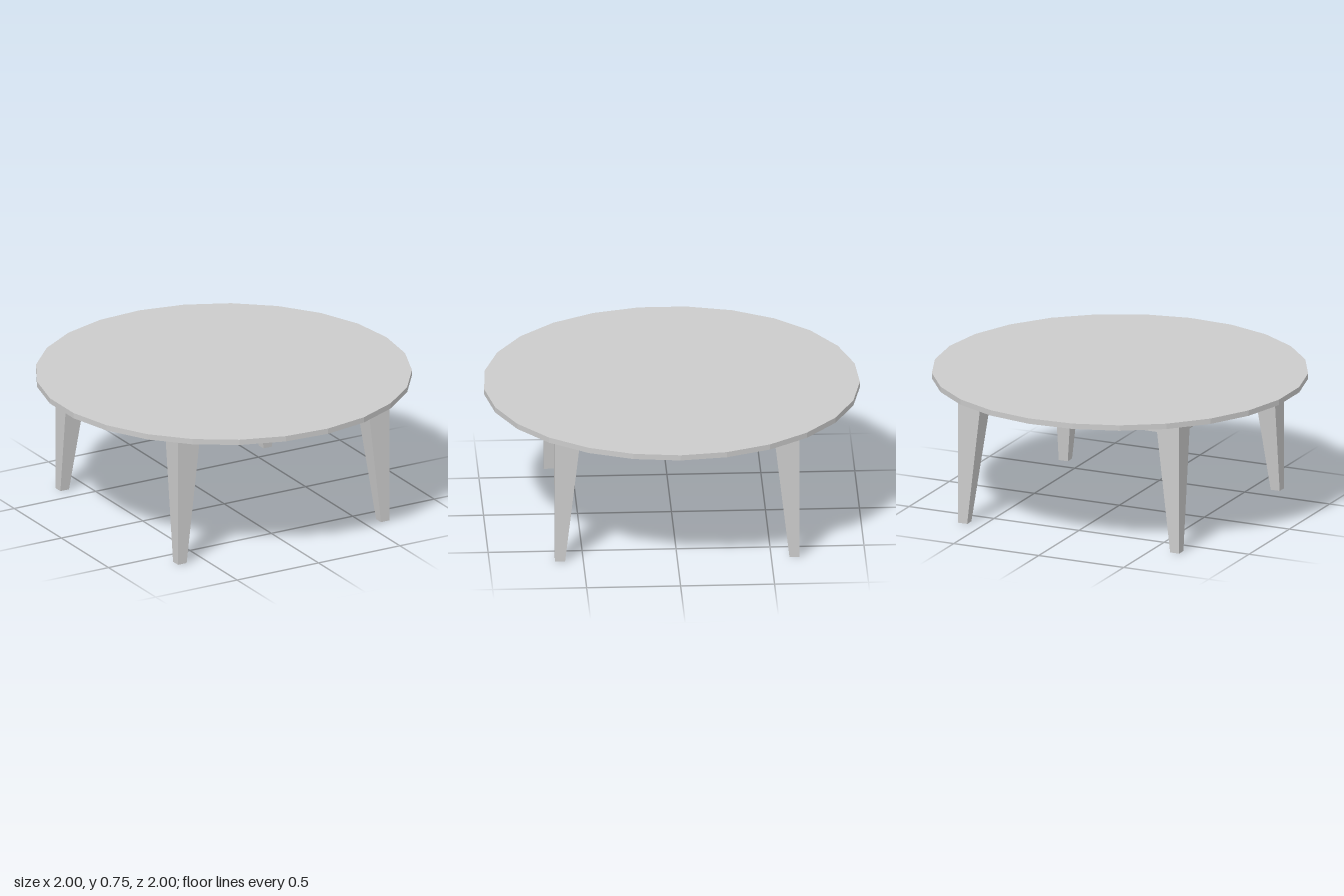
import * as THREE from 'three';

const material = new THREE.MeshStandardMaterial({ color: 0xcccccc, flatShading: true });

const TOP = 0.755, UNDER = 0.725, APRON_BOTTOM = 0.66;
const CX = -0.01;              // centre of the frame in x
const HALF = 0.65;             // outer half width of the frame
const LEG = 0.13, FOOT = 0.053, APRON = 0.045;

function addMesh(parent, name, geometry, x = 0, y = 0, z = 0) {
  const mesh = new THREE.Mesh(geometry, material);
  mesh.name = name;
  mesh.position.set(x, y, z);
  parent.add(mesh);
  return mesh;
}

// Square leg: straight block at the top, its two inner faces tapering to the foot
function legGeometry(sx, sz) {
  const geo = new THREE.BoxGeometry(1, 2, 1, 1, 2, 1);
  const p = geo.attributes.position;
  for (let i = 0; i < p.count; i++) {
    const level = Math.round(p.getY(i)) + 1; // 0 foot, 1 apron line, 2 top
    const width = level === 0 ? FOOT : LEG;
    const place = (v, s) => s * (v * s > 0 ? HALF : HALF - width);
    p.setXYZ(i, place(p.getX(i), sx), [0, APRON_BOTTOM, UNDER][level], place(p.getZ(i), sz));
  }
  geo.computeVertexNormals();
  return geo;
}

export function createModel() {
  const group = new THREE.Group();
  group.name = 'roundTable';

  // Round top with 25 sides, one corner pointing to +x
  const top = new THREE.CylinderGeometry(1.002, 1.002, TOP - UNDER, 25);
  top.rotateY(Math.PI / 2);
  addMesh(group, 'tableTop', top, -0.004, (TOP + UNDER) / 2, 0);

  const frame = new THREE.Group();
  frame.name = 'frame';
  frame.position.x = CX;
  group.add(frame);

  // Four legs
  for (const [sx, xName] of [[1, 'Left'], [-1, 'Right']]) {
    for (const [sz, zName] of [[1, 'front'], [-1, 'back']]) {
      addMesh(frame, `${zName}${xName}Leg`, legGeometry(sx, sz));
    }
  }

  // Four aprons, flush with the outside of the legs
  const span = 2 * (HALF - LEG), height = UNDER - APRON_BOTTOM;
  const y = (UNDER + APRON_BOTTOM) / 2, offset = HALF - APRON / 2;
  for (const s of [1, -1]) {
    addMesh(frame, s > 0 ? 'frontApron' : 'backApron',
      new THREE.BoxGeometry(span, height, APRON), 0, y, s * offset);
    addMesh(frame, s > 0 ? 'leftApron' : 'rightApron',
      new THREE.BoxGeometry(APRON, height, span), s * offset, y, 0);
  }
  return group;
}
